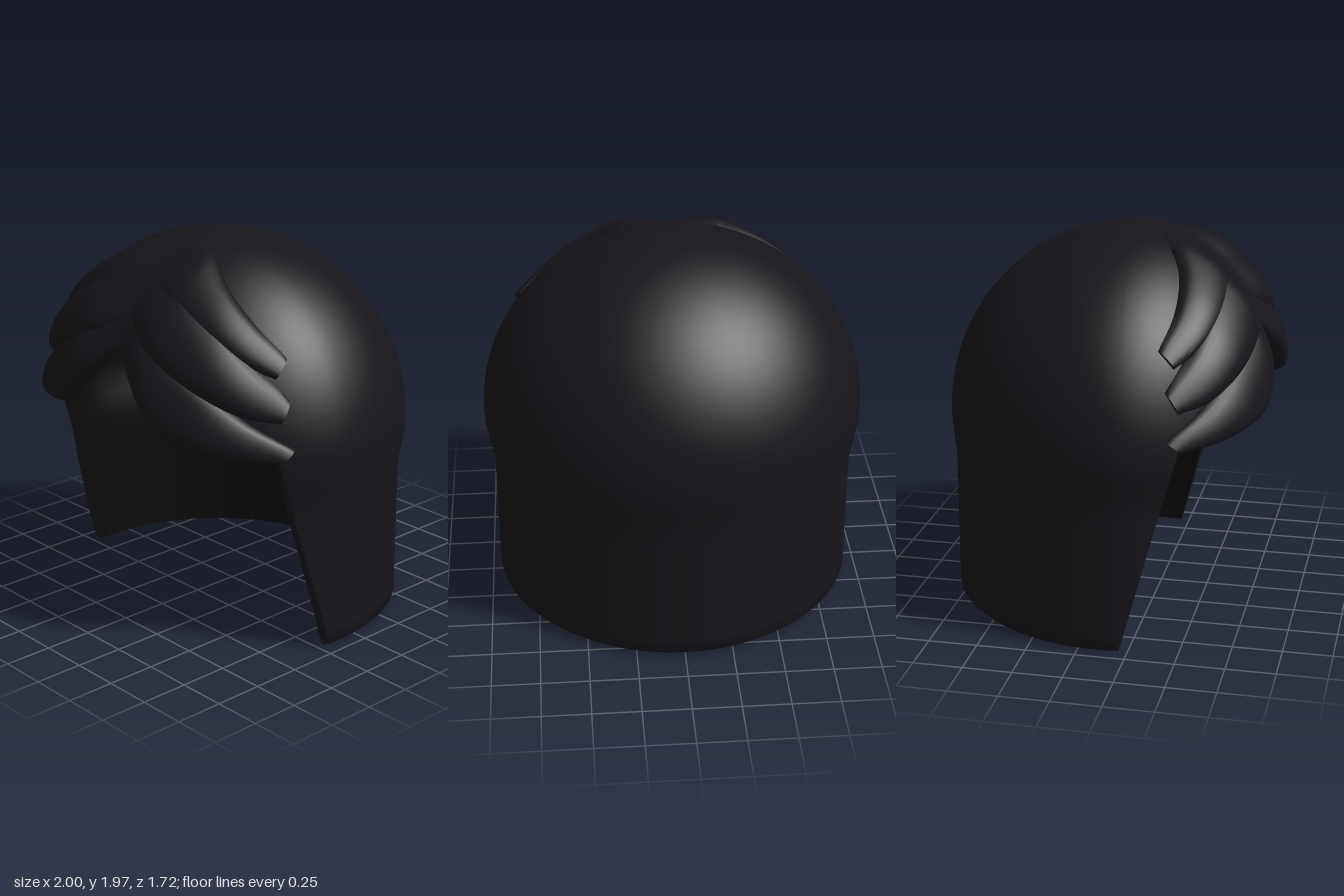
import * as THREE from 'three';
import { toCreasedNormals } from 'three/addons/utils/BufferGeometryUtils.js';

const { lerp, smoothstep } = THREE.MathUtils;
const V = (x, y, z) => new THREE.Vector3(x, y, z);

// The head form: half ellipsoid centred here, shallower at the front
const C = V(0, 1, 0.1), RY = 0.97, FRONT = 0.75, BACK = 0.96;

// Skin a row of sections: either a loop of open sections, or capped closed rings
function loft(rings, { loop = false, flip = false } = {}) {
  const n = rings.length, m = rings[0].length, index = [];
  const tri = (a, b, c) => (flip ? index.push(a, c, b) : index.push(a, b, c));
  for (let i = 0; i < (loop ? n : n - 1); i++) {
    for (let j = 0; j < (loop ? m - 1 : m); j++) {
      const k = (j + 1) % m, a = i * m, b = ((i + 1) % n) * m;
      tri(a + j, b + j, a + k);
      tri(b + j, b + k, a + k);
    }
  }
  if (!loop) {
    const e = (n - 1) * m;
    for (let j = 1; j < m - 1; j++) {
      tri(0, j, j + 1);
      tri(e, e + j + 1, e + j);
    }
  }
  const g = new THREE.BufferGeometry().setFromPoints(rings.flat());
  g.setIndex(index);
  return toCreasedNormals(g, 0.95);
}

// Cap rim: [angle from the front, height, steps to the next entry]
const RIM = [[0, 1.53, 10], [0.39, 1.17, 12], [1.01, 1.07, 16], [1.42, 0, 32], [Math.PI, 0, 0]];
const THICK = 0.06, ROWS = 36;

// Point on the cap; a < 0 runs down the wall, a > 0 up the dome
function capPoint(theta, a, inset) {
  const s = a > 0 ? Math.cos(a) : 1;
  const wall = a > 0 ? 1 : smoothstep(a, -0.28, 0);
  const c = Math.cos(theta), rz = c > 0 ? FRONT : BACK;
  return V(
    Math.sin(theta) * s * (lerp(0.957, 1, wall) - inset),
    a > 0 ? 1 + Math.sin(a) * (RY - inset) : 1 + a,
    C.z + c * s * (rz * lerp(0.98, 1, wall) - inset));
}

// Sweep a section, made from angle and lowest a, all the way round the head
function aroundHead(section) {
  const half = [];
  for (let s = 0; s < RIM.length - 1; s++) {
    const [t0, y0, n] = RIM[s], [t1, y1] = RIM[s + 1];
    for (let i = 0; i < n; i++) half.push([lerp(t0, t1, i / n), lerp(y0, y1, i / n)]);
  }
  const mirrored = half.slice(1).reverse().map(([t, y]) => [-t, y]);
  const rings = [...mirrored, ...half, [Math.PI, 0]].map(([t, y]) =>
    section(t, y > 1 ? Math.asin((y - 1) / RY) : y - 1));
  return loft(rings, { loop: true });
}

// Rim and bevel, then the outer skin up to the crown
function outerSection(t, low) {
  const ring = [capPoint(t, low, THICK), capPoint(t, low, 0.035)];
  for (let i = 0; i <= ROWS; i++) ring.push(capPoint(t, lerp(low + 0.035, Math.PI / 2, i / ROWS), 0));
  return ring;
}

// Inner skin from the crown down to the rim
function innerSection(t, low) {
  const ring = [];
  for (let i = ROWS; i >= 0; i--) ring.push(capPoint(t, lerp(low, Math.PI / 2, i / ROWS), THICK));
  return ring;
}

// Push a point radially onto the front ellipsoid scaled by k
function onDome(p, k) {
  const d = p.clone().sub(C);
  const len = Math.hypot(d.x, d.y / RY, d.z / FRONT);
  return d.multiplyScalar(k / len).add(C);
}

// Fringe locks, lowest first: upper and lower edge from parting to tip
const LOCKS = [
  {
    name: 'lowerLock', bulge: 0.105,
    upper: [[0, 1.72, 0.68], [0.25, 1.6, 0.71], [0.47, 1.45, 0.7], [0.75, 1.25, 0.6], [0.93, 1.11, 0.44]],
    lower: [[0, 1.48, 0.75], [0.2, 1.29, 0.82], [0.35, 1.13, 0.81], [0.44, 1.105, 0.8],
      [0.7, 1.065, 0.67], [0.91, 1.05, 0.51]],
  },
  {
    name: 'middleLock', bulge: 0.11,
    upper: [[0, 1.88, 0.42], [0.4, 1.73, 0.52], [0.7, 1.5, 0.5], [0.87, 1.34, 0.42]],
    lower: [[0, 1.66, 0.72], [0.22, 1.49, 0.76], [0.45, 1.36, 0.71], [0.72, 1.26, 0.6], [0.88, 1.24, 0.49]],
  },
  {
    name: 'upperLock', bulge: 0.08,
    upper: [[0, 1.96, 0.2], [0.2, 1.91, 0.3], [0.4, 1.82, 0.4], [0.62, 1.67, 0.42], [0.79, 1.52, 0.37]],
    lower: [[0, 1.8, 0.55], [0.25, 1.67, 0.62], [0.42, 1.58, 0.6], [0.63, 1.49, 0.54], [0.8, 1.44, 0.45]],
  },
];

function lockGeometry({ upper, lower, bulge }, side) {
  const curve = (pts) => new THREE.CatmullRomCurve3(pts.map((p) => V(...p)));
  const top = curve(upper), bottom = curve(lower), rings = [];
  const along = 36, across = 14;
  for (let i = 0; i <= along; i++) {
    const u = i / along, a = bottom.getPointAt(u), b = top.getPointAt(u), ring = [];
    // thin at the parting and tip, with the tip standing off the cap
    const tip = smoothstep(u, 0.55, 1);
    const puff = bulge * lerp(0.1, 1, smoothstep(u, 0, 0.32)) * (1 - 0.65 * tip);
    const lift = 0.02 * tip;
    // rounded outer face, fullest near the lower edge, then the face against the cap
    for (let j = 0; j <= across; j++) {
      const w = j / across, round = Math.sqrt(Math.sin(Math.PI * w) + 1e-9);
      ring.push(onDome(a.clone().lerp(b, w * w), 1 + lift + puff * round));
    }
    for (let j = across; j >= 0; j--) ring.push(onDome(a.clone().lerp(b, j / across), 0.97 + 2.2 * lift));
    for (const p of ring) p.x *= side;
    rings.push(ring);
  }
  return loft(rings, { flip: side < 0 });
}

export function createModel() {
  const group = new THREE.Group();
  group.name = 'hair';
  const hair = new THREE.MeshStandardMaterial({ color: 0x17151a });
  const shade = new THREE.MeshStandardMaterial({ color: 0x0b0b0c });
  const add = (name, geometry, material) => {
    const mesh = new THREE.Mesh(geometry, material);
    mesh.name = name;
    group.add(mesh);
  };

  add('hairCap', aroundHead(outerSection), hair);
  add('capLining', aroundHead(innerSection), shade);
  for (const lock of LOCKS) {
    add(lock.name + 'Left', lockGeometry(lock, 1), hair);
    add(lock.name + 'Right', lockGeometry(lock, -1), hair);
  }
  return group;
}
